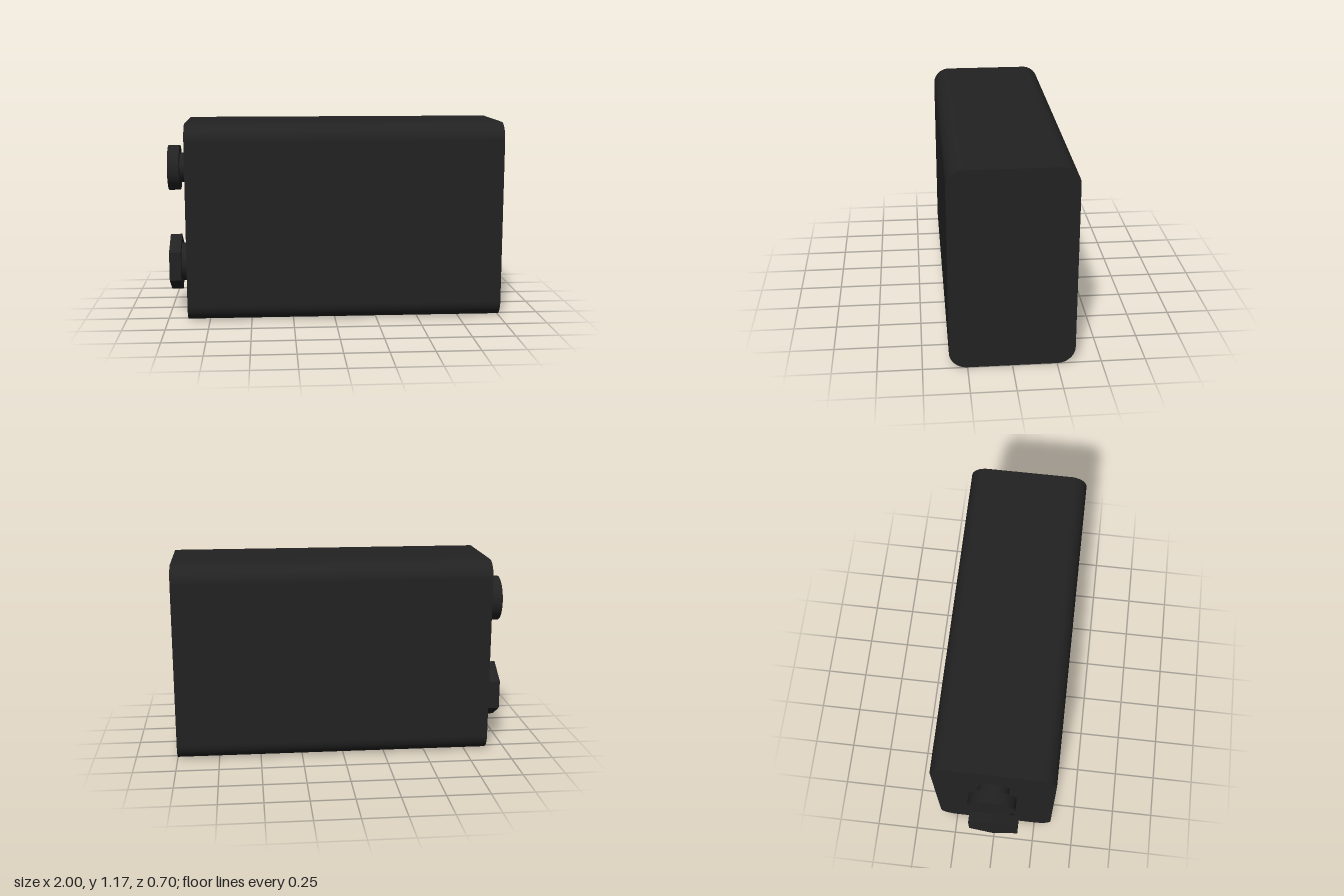
import * as THREE from 'three';
import { toCreasedNormals } from 'three/addons/utils/BufferGeometryUtils.js';

const COLOR = 0x222222;
const FACE_X = -0.88; // end face that carries the terminals
const NECK_X = -0.93; // where neck meets cap
const TIP_X = -1;

function addMesh(parent, name, geometry, flatShading = false) {
  const mesh = new THREE.Mesh(geometry, new THREE.MeshStandardMaterial({ color: COLOR, flatShading }));
  mesh.name = name;
  parent.add(mesh);
  return mesh;
}

// Rounded rectangle extruded along x
function bodyGeometry(depth, height, radius) {
  const w = depth / 2, h = height, r = radius;
  const s = new THREE.Shape();
  s.moveTo(-w + r, 0);
  s.absarc(w - r, r, r, -Math.PI / 2, 0);
  s.absarc(w - r, h - r, r, 0, Math.PI / 2);
  s.absarc(-w + r, h - r, r, Math.PI / 2, Math.PI);
  s.absarc(-w + r, r, r, Math.PI, Math.PI * 1.5);
  const g = new THREE.ExtrudeGeometry(s, { depth: 1 - FACE_X, bevelEnabled: false, curveSegments: 12 });
  g.rotateY(Math.PI / 2);
  g.translate(FACE_X, 0, 0);
  return toCreasedNormals(g, Math.PI / 6);
}

// Disc lying along x, with a corner pointing straight up
function addDisc(parent, name, x0, x1, y, radius, sides) {
  const g = new THREE.CylinderGeometry(radius, radius, x1 - x0, sides, 1, false, Math.PI / 2);
  g.rotateZ(Math.PI / 2);
  addMesh(parent, name, g, sides < 10).position.set((x0 + x1) / 2, y, 0);
}

function addTerminal(parent, name, y, neckRadius, capRadius, capSides) {
  const terminal = new THREE.Group();
  terminal.name = name;
  addDisc(terminal, name + 'Neck', NECK_X, FACE_X, y, neckRadius, 48);
  addDisc(terminal, name + 'Cap', TIP_X, NECK_X, y, capRadius, capSides);
  parent.add(terminal);
}

export function createModel() {
  const model = new THREE.Group();
  model.name = 'battery';
  addMesh(model, 'body', bodyGeometry(0.705, 1.175, 0.1));
  // Round terminal above, hexagonal terminal below
  addTerminal(model, 'roundTerminal', 0.885, 0.09, 0.137, 48);
  addTerminal(model, 'hexTerminal', 0.295, 0.116, 0.175, 6);
  return model;
}
